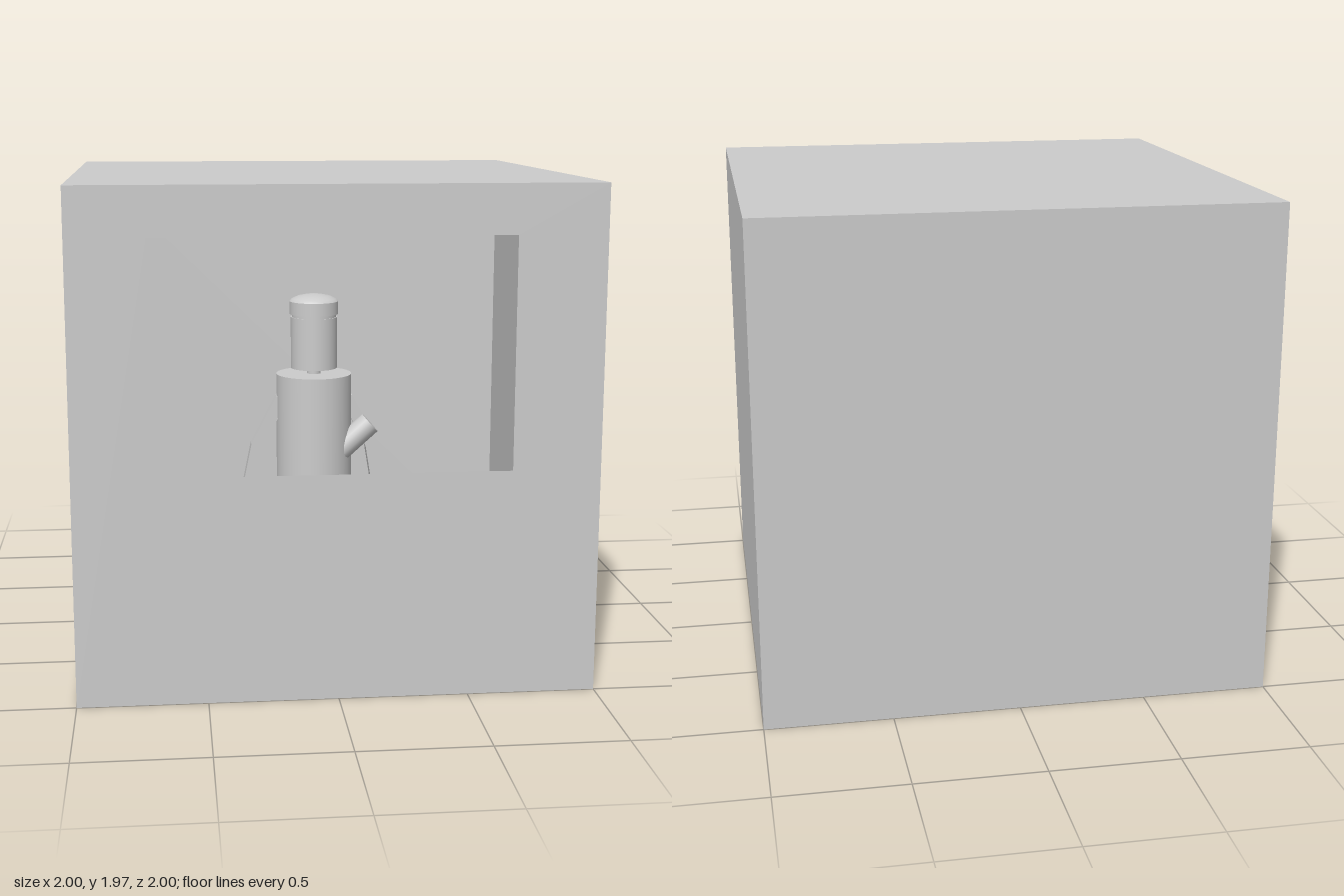
import * as THREE from 'three';

const H = 1.965;
const solid = new THREE.MeshStandardMaterial({ color: 0xcccccc });
const flat = new THREE.MeshStandardMaterial({ color: 0xcccccc, flatShading: true });
const sheet = new THREE.MeshStandardMaterial({ color: 0xcccccc, side: THREE.DoubleSide });

function polygon(points) {
  return new THREE.Shape(points.map(([x, y]) => new THREE.Vector2(x, y)));
}

function add(parent, name, geometry, material, x = 0, y = 0, z = 0) {
  const mesh = new THREE.Mesh(geometry, material);
  mesh.name = name;
  mesh.position.set(x, y, z);
  parent.add(mesh);
  return mesh;
}

// Extrudes an outline, centred on its depth
function prism(points, depth) {
  return new THREE.ExtrudeGeometry(polygon(points), { depth, bevelEnabled: false })
    .translate(0, 0, -depth / 2);
}

// Thin-walled room with a window in its front wall
function createRoom() {
  const room = new THREE.Group();
  room.name = 'room';
  const front = polygon([[-1, 0], [1, 0], [1, H], [-1, H]]);
  front.holes.push(polygon([[-0.705, 0.885], [-0.705, 1.775], [0.66, 1.775], [0.66, 0.885]]));
  add(room, 'windowWall', new THREE.ShapeGeometry(front), sheet, 0, 0, 1);
  add(room, 'backWall', new THREE.PlaneGeometry(2, H), sheet, 0, H / 2, -1).rotation.y = Math.PI;
  for (const s of [-1, 1]) {
    const side = add(room, s > 0 ? 'leftWall' : 'rightWall', new THREE.PlaneGeometry(2, H), sheet, s, H / 2, 0);
    side.rotation.y = s * Math.PI / 2;
    const level = add(room, s > 0 ? 'ceiling' : 'floor', new THREE.PlaneGeometry(2, 2), sheet, 0, s > 0 ? H : 0, 0);
    level.rotation.x = -s * Math.PI / 2;
  }
  return room;
}

// Upright machine standing on a sloped plinth
function createMachine() {
  const machine = new THREE.Group();
  machine.name = 'machine';

  // Plinth with sloping front and back
  const plinth = prism([[-0.72, 0], [0.72, 0], [0.11, 0.555], [-0.11, 0.555]], 0.97);
  add(machine, 'plinth', plinth, flat).rotation.y = Math.PI / 2;

  // Drum, neck and upper cylinder
  add(machine, 'drum', new THREE.CylinderGeometry(0.163, 0.163, 0.475, 32), solid, 0, 0.8575, 0);
  add(machine, 'neck', new THREE.CylinderGeometry(0.03, 0.03, 0.04, 24), solid, 0, 1.108, 0);
  add(machine, 'upperCylinder', new THREE.CylinderGeometry(0.1, 0.1, 0.222, 32), solid, 0, 1.231, 0);
  add(machine, 'groove', new THREE.CylinderGeometry(0.095, 0.095, 0.02, 32), solid, 0, 1.35, 0);
  add(machine, 'capBand', new THREE.CylinderGeometry(0.105, 0.105, 0.055, 32), solid, 0, 1.3825, 0);
  const dome = [[0.105, 1.41], [0.095, 1.421], [0.07, 1.432], [0.035, 1.439], [0, 1.441]];
  add(machine, 'capDome', new THREE.LatheGeometry(dome.map(([x, y]) => new THREE.Vector2(x, y)), 32), solid);

  // Bent struts and feet on both sides
  const strut = [[0.26, 0.555], [0.323, 0.555], [0.275, 0.79], [0.165, 1.0], [0.15, 1.0], [0.15, 0.92], [0.225, 0.77]];
  for (const s of [-1, 1]) {
    const brace = add(machine, s > 0 ? 'leftStrut' : 'rightStrut', prism(strut, 0.06), flat);
    brace.rotation.y = s > 0 ? 0 : Math.PI;
    add(machine, s > 0 ? 'leftFoot' : 'rightFoot', new THREE.BoxGeometry(0.115, 0.07, 0.066), flat, s * 0.1175, 0.59, 0);
  }

  // Angled spout on the left side
  const spout = add(machine, 'spout', new THREE.CylinderGeometry(0.05, 0.05, 0.2, 20), solid, 0.165, 0.816, 0.06);
  spout.rotation.z = -0.84;
  return machine;
}

export function createModel() {
  const model = new THREE.Group();
  model.name = 'machineRoom';
  model.add(createRoom(), createMachine());
  return model;
}
